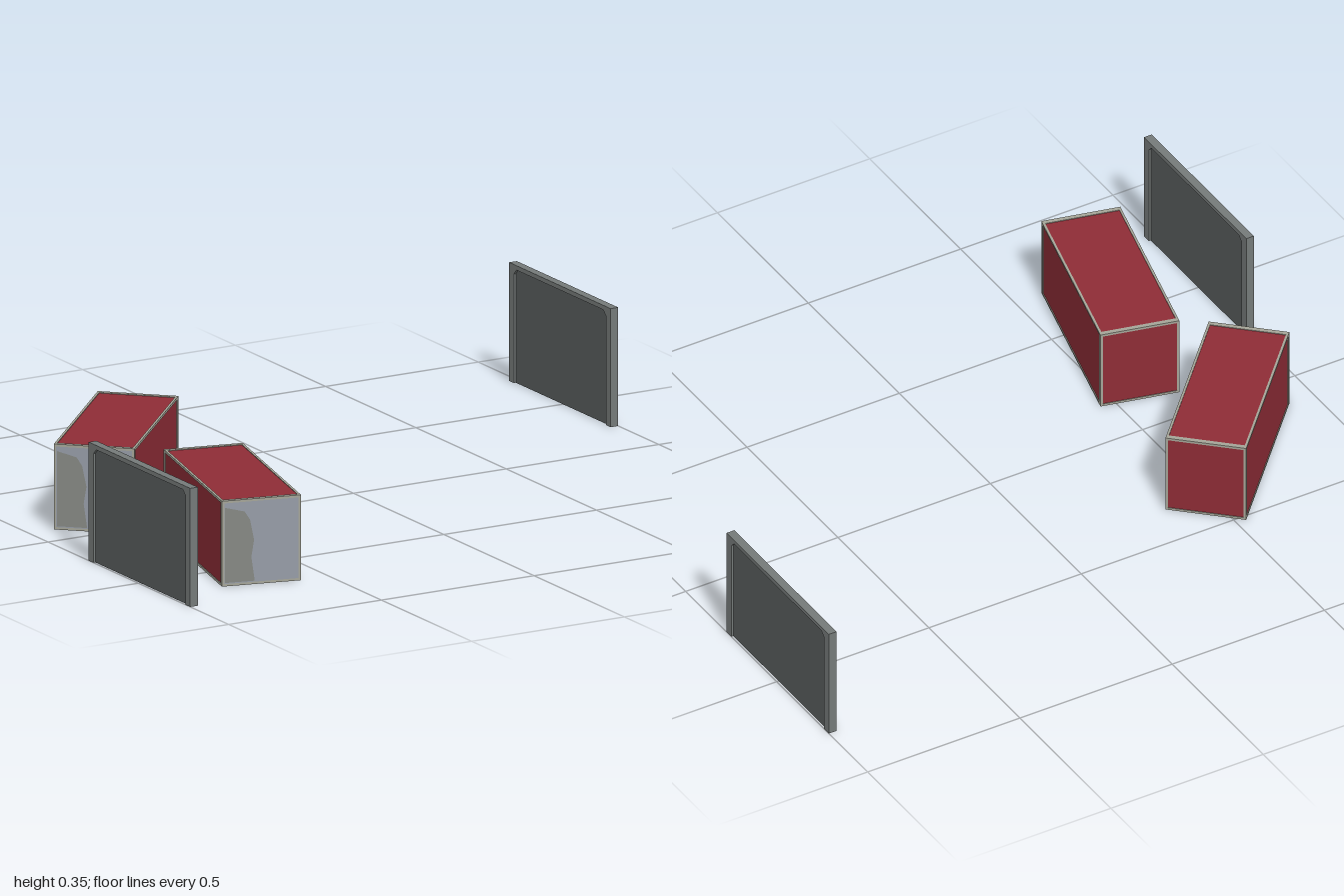
import * as THREE from 'three';

const mat = (name, color) => Object.assign(new THREE.MeshStandardMaterial({ color }), { name });

export function createModel() {
  const red = mat('container red', 0x8e2c36);
  const trim = mat('trim grey', 0xa5a598);
  const steel = mat('door steel', 0x959ba6);
  const worn = mat('worn steel', 0x858883);
  const wall = mat('wall grey', 0x585d5d);
  const post = mat('wall frame grey', 0x757a79);

  const model = new THREE.Group();
  model.name = 'containersAndWalls';

  const add = (parent, name, geometry, material, x = 0, y = 0, z = 0) => {
    const mesh = new THREE.Mesh(geometry, material);
    mesh.name = name;
    mesh.position.set(x, y, z);
    parent.add(mesh);
    return mesh;
  };
  const box = (parent, name, w, h, d, material, x, y, z) =>
    add(parent, name, new THREE.BoxGeometry(w, h, d), material, x, y, z);

  // Shipping container: red body, thin edge frame, steel doors at +z
  const W = 0.233, H = 0.25, L = 0.567, T = 0.014, S = 0.007;
  function container(name, x, z, turn) {
    const g = new THREE.Group();
    g.name = name;
    g.position.set(x, 0, z);
    g.rotation.y = turn;
    model.add(g);
    box(g, 'body', W - 0.004, H - 0.004, L - 0.004, red, 0, H / 2, 0);
    for (const sx of [-1, 1]) {
      // Corner posts
      for (const sz of [-1, 1])
        box(g, 'cornerPost', S, H, T, trim, sx * (W - S) / 2, H / 2, sz * (L - T) / 2);
      // Long rails
      for (const y of [S / 2, H - S / 2])
        box(g, 'sideRail', S, S, L - 2 * T, trim, sx * (W - S) / 2, y, 0);
    }
    // End rails
    for (const sz of [-1, 1])
      for (const y of [S / 2, H - S / 2])
        box(g, 'endRail', W - 2 * S, S, T, trim, 0, y, sz * (L - T) / 2);
    // Doors
    box(g, 'doors', W - 2 * S, H - 2 * S, 0.003, steel, 0, H / 2, L / 2 - 0.0015);
    // Weathered area on one side of the doors
    const patch = new THREE.Shape([
      [-0.107, 0.01], [-0.02, 0.01], [-0.03, 0.08], [-0.022, 0.13],
      [-0.034, 0.19], [-0.05, 0.215], [-0.107, 0.23],
    ].map(p => new THREE.Vector2(...p)));
    add(g, 'wornDoorArea', new THREE.ShapeGeometry(patch), worn, 0, 0, L / 2 + 0.0008);
  }
  container('frontContainer', -0.635, 0.403, -0.24);
  container('rearContainer', -0.64, -0.232, -0.755);

  // Wall section: thin panel held in a frame with chamfered inner corners
  const PL = 0.562, PH = 0.347, PT = 0.025;
  function wallPanel(name, x, z) {
    const g = new THREE.Group();
    g.name = name;
    g.position.set(x, 0, z);
    model.add(g);
    box(g, 'panel', 0.012, PH - 0.008, PL - 0.02, wall, 0, (PH - 0.008) / 2, 0);
    const a = PL / 2, b = a - 0.026, t = PH - 0.013;
    const frame = new THREE.Shape([
      [-a, 0], [-b, 0], [-b, t - 0.015], [-b + 0.015, t],
      [b - 0.015, t], [b, t - 0.015], [b, 0], [a, 0], [a, PH], [-a, PH],
    ].map(p => new THREE.Vector2(...p)));
    const geo = new THREE.ExtrudeGeometry(frame, { depth: PT, bevelEnabled: false });
    geo.translate(0, 0, -PT / 2);
    geo.rotateY(Math.PI / 2);
    add(g, 'panelFrame', geo, post);
  }
  wallPanel('leftWall', 0.9875, -0.506);
  wallPanel('rightWall', -0.9875, 0.506);

  return model;
}
